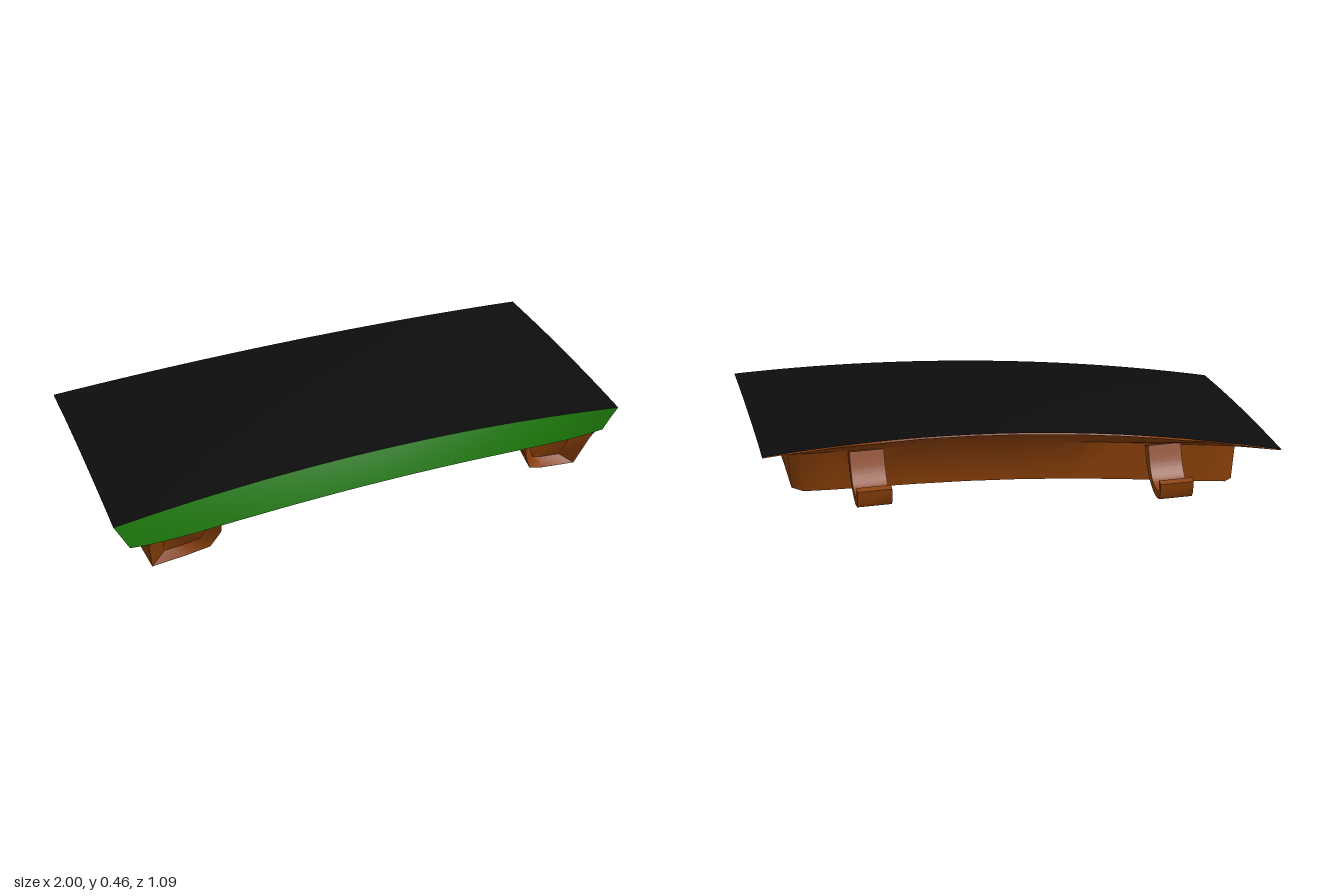
import * as THREE from 'three';
import { toCreasedNormals } from 'three/addons/utils/BufferGeometryUtils.js';

const paint = (color) => new THREE.MeshStandardMaterial({ color, side: THREE.DoubleSide });
const black = paint(0x0d0d0d), green = paint(0x1f7c0c), brown = paint(0x8b4009);

// Outline and height of the curved lid
const backZ = (x) => -0.39 + 0.04 * x - 0.06 * x * x;
const frontZ = (x) => 0.503 + 0.033 * x;
function lidY(x, z) {
  const front = 0.39 + 0.0825 * x - 0.0625 * x * x;
  const back = 0.45 + 0.0675 * x - 0.0575 * x * x;
  const t = (frontZ(x) - z) / (frontZ(x) - backZ(x));
  return front + (back - front) * t + 0.04 * t * (1 - t);
}
// A point d below the lid
const under = (x, z, d) => [x, lidY(x, z) - d, z];

// Surface through a list of cross-sections with equal point counts
function loft(sections, crease = 0.5, capEnds = false) {
  const n = sections[0].length, pos = sections.flat(2), idx = [];
  for (let i = 0; i < sections.length - 1; i++) {
    for (let j = 0; j < n - 1; j++) {
      const a = i * n + j, b = a + n;
      idx.push(a, b, a + 1, b, b + 1, a + 1);
    }
  }
  if (capEnds) {
    const last = (sections.length - 1) * n;
    for (let j = 1; j < n - 1; j++) {
      idx.push(0, j, j + 1, last, last + j + 1, last + j);
    }
  }
  const g = new THREE.BufferGeometry();
  g.setAttribute('position', new THREE.Float32BufferAttribute(pos, 3));
  g.setIndex(idx);
  return toCreasedNormals(g, crease);
}

const steps = (n, f) => Array.from({ length: n + 1 }, (_, i) => f(-1 + (2 * i) / n));

// Smooth lid skin, a touch narrower at the back
function lidGeometry() {
  return loft(steps(32, (x) => Array.from({ length: 13 }, (_, j) => {
    const t = j / 12, z = frontZ(x) + (backZ(x) - frontZ(x)) * t;
    return [x * (1 - 0.01 * t), lidY(x, z), z];
  })), 1);
}

// Front fascia: slightly bulging strip
function fasciaGeometry() {
  return loft(steps(32, (u) => {
    const lip = 0.037 - 0.012 * u - 0.037 * u * u;
    const z = frontZ(u), y = lidY(u, z);
    const drop = 0.116 - 0.025 * Math.pow(u, 8);
    return [
      [u, y, z],
      [u * 0.972, y - drop * 0.5, z + lip * 0.6],
      [u * 0.945, y - drop, z + lip],
    ];
  }), 0.6);
}

// Half of the U-shaped frame, front end to back centre.
// Per station: flange edge x, then [x, z, depth below lid] for
// wall top, outer rim, inner rim, inner curve (two) and inner top.
const leg = (z, wall, rim) => [1, [0.885, z + 0.015, wall], [0.87, z, rim], [0.72, z, rim],
  [0.655, z, rim - 0.04], [0.62, z, rim - 0.1], [0.6, z, 0.006]];
const stations = [
  [1, [0.885, 0.49, 0.13], [0.858, 0.42, 0.28], [0.72, 0.425, 0.277], [0.645, 0.465, 0.24],
    [0.612, 0.5, 0.165], [0.6, 0.5, 0.006]],
  leg(0.31, 0.08, 0.23),
  leg(0.15, 0.068, 0.225),
  leg(0, 0.065, 0.222),
  leg(-0.06, 0.065, 0.222),
  [1, [0.88, -0.25, 0.065], [0.87, -0.25, 0.222], [0.7, -0.14, 0.222], [0.635, -0.12, 0.182],
    [0.6, -0.09, 0.12], [0.57, -0.04, 0.006]],
  [0.92, [0.84, -0.3, 0.065], [0.83, -0.295, 0.222], [0.64, -0.19, 0.222], [0.58, -0.165, 0.185],
    [0.54, -0.13, 0.12], [0.5, -0.07, 0.006]],
  [0.75, [0.73, -0.312, 0.065], [0.72, -0.305, 0.224], [0.54, -0.22, 0.222], [0.5, -0.195, 0.185],
    [0.46, -0.155, 0.12], [0.42, -0.1, 0.006]],
  ...[0.4, 0.2].map((x) => back(x)),
];
function back(x) {
  return [x, [x, -0.312, 0.07], [x, -0.305, 0.229], [x * 0.9, -0.225, 0.226], [x * 0.85, -0.2, 0.187],
    [x * 0.8, -0.16, 0.12], [x * 0.75, -0.11, 0.006]];
}

function frameGeometry() {
  const section = ([edge, ...points], side) => {
    const ring = points.map(([x, z, d]) => {
      const skew = (z < 0 ? 0.025 : z > 0.3 ? 0.025 : 0) * x * side;
      const shift = z > 0.4 ? 0.014 : 0;
      return under(x * side + shift, z + skew, d);
    });
    // Flange edge follows the lid outline
    const ex = edge * side * 0.99, z = points[0][1];
    const ez = edge < 1 || z < -0.2 ? backZ(ex) + 0.003 : z > 0.4 ? frontZ(ex) - 0.004 : z;
    return [under(ex, ez, 0.006), ...ring];
  };
  // Shallow dish set into the front end of a leg
  const dish = (s) => {
    const mid = [0, 1, 2].map((k) => s.slice(1).reduce((sum, p) => sum + p[k], 0) / (s.length - 1));
    return s.map((p) => p.map((v, k) => v + (mid[k] - v) * 0.4 - (k === 2 ? 0.04 : 0)));
  };
  const left = stations.map((s) => section(s, 1));
  const right = stations.map((s) => section(s, -1)).reverse();
  return loft([
    dish(left[0]), ...left, section(back(0), 1), ...right, dish(right[right.length - 1]),
  ], 0.85, true);
}

// Narrow rail under the lid behind the fascia
function railGeometry() {
  return loft(steps(24, (u) => {
    const x = 0.64 * u, z = frontZ(x);
    return [under(x, z, 0.006), under(x, z - 0.01, 0.035), under(x, z - 0.05, 0.03), under(x, z - 0.07, 0.006)];
  }), 0.5);
}

// Hooked hinge arm, drawn from the side and extruded across its width
function hingeGeometry() {
  const v = (a) => a.map(([x, y]) => new THREE.Vector2(x, y));
  const s = new THREE.Shape();
  s.moveTo(0.295, 0.4);
  s.splineThru(v([[0.31, 0.355], [0.35, 0.3], [0.4, 0.268], [0.45, 0.255], [0.495, 0.262]]));
  s.lineTo(0.505, 0.28);
  s.lineTo(0.51, 0.33);
  s.lineTo(0.487, 0.337);
  s.lineTo(0.492, 0.3);
  s.lineTo(0.478, 0.288);
  s.splineThru(v([[0.44, 0.287], [0.4, 0.303], [0.365, 0.345], [0.335, 0.415]]));
  s.closePath();
  const g = new THREE.ExtrudeGeometry(s, { depth: 0.13, bevelEnabled: false, curveSegments: 14 });
  g.rotateY(Math.PI / 2);
  return toCreasedNormals(g, 0.6);
}

export function createModel() {
  const model = new THREE.Group();
  const add = (name, geometry, material) => {
    const mesh = new THREE.Mesh(geometry, material);
    mesh.name = name;
    model.add(mesh);
    return mesh;
  };
  add('lidSkin', lidGeometry(), black);
  add('frontFascia', fasciaGeometry(), green);
  add('underFrame', frameGeometry(), brown);
  add('frontRail', railGeometry(), brown);
  add('leftHinge', hingeGeometry(), brown).position.set(0.53, 0, 0);
  add('rightHinge', hingeGeometry(), brown).position.set(-0.62, -0.073, -0.04);
  return model;
}
